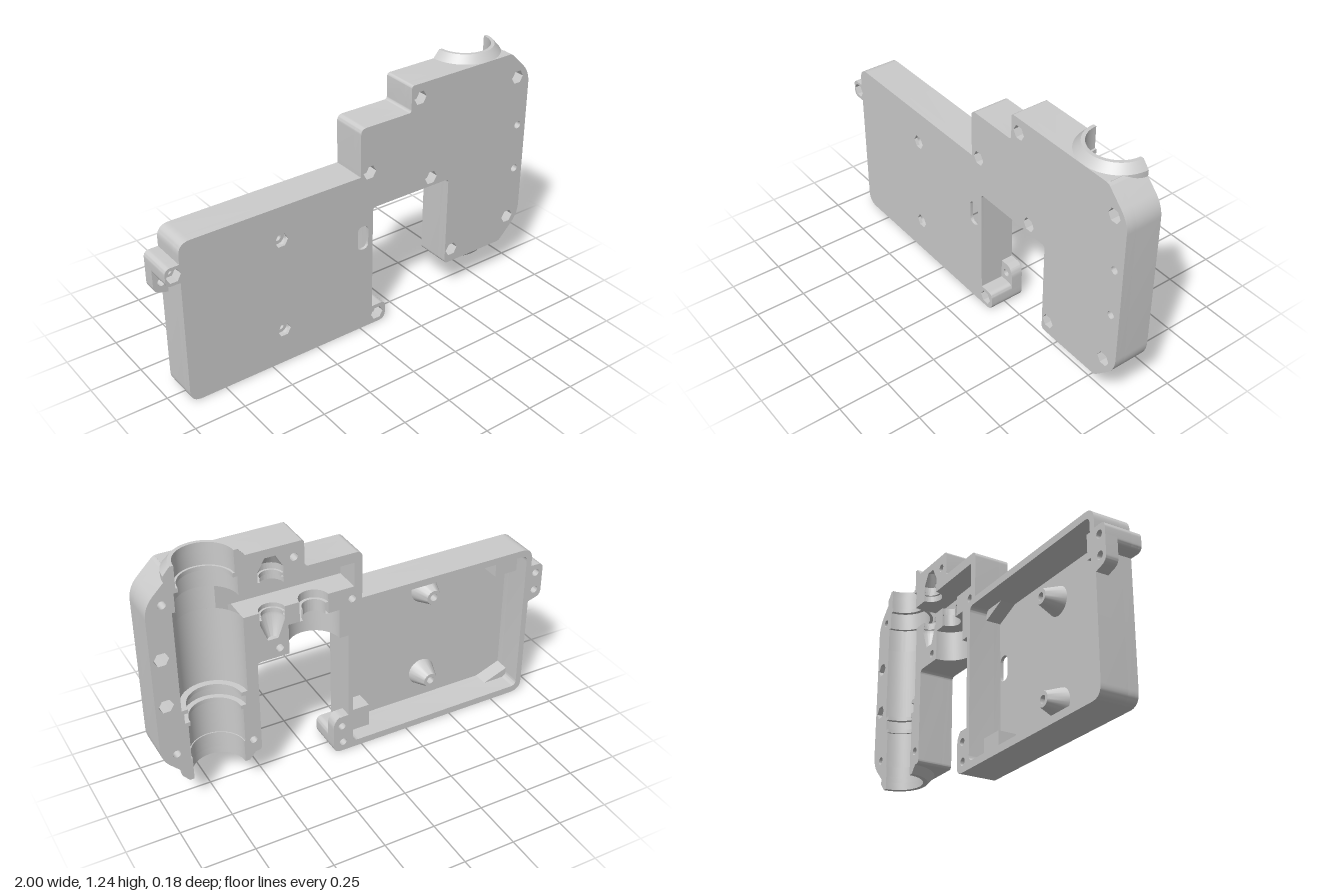
import * as THREE from 'three';
import { toCreasedNormals } from 'three/addons/utils/BufferGeometryUtils.js';

const BACK = -0.09, FRONT = 0.09, RECESS = 0.04, FLOOR = 0.075;
const mat = new THREE.MeshStandardMaterial({ color: 0xcccccc, side: THREE.DoubleSide });

// closed outline from [x, y, cornerRadius]
function outline(pts, Kind = THREE.Shape) {
  const s = new Kind(), n = pts.length;
  pts.forEach(([x, y, r = 0], i) => {
    const p = new THREE.Vector2(x, y);
    const toward = q => p.clone().add(new THREE.Vector2(q[0], q[1]).sub(p).setLength(r));
    const a = r ? toward(pts[(i + n - 1) % n]) : p;
    if (i) s.lineTo(a.x, a.y); else s.moveTo(a.x, a.y);
    if (r) {
      const b = toward(pts[(i + 1) % n]);
      s.quadraticCurveTo(x, y, b.x, b.y);
    }
  });
  s.closePath();
  return s;
}
const rect = (x0, y0, x1, y1, r, Kind) =>
  outline([[x0, y0, r], [x1, y0, r], [x1, y1, r], [x0, y1, r]], Kind);
const round = (x, y, r = 0.019) => new THREE.Path().absarc(x, y, r, 0, Math.PI * 2);
const hex = (x, y) => outline(Array.from({ length: 6 }, (_, i) =>
  [x + 0.035 * Math.cos(i * Math.PI / 3), y + 0.035 * Math.sin(i * Math.PI / 3)]), THREE.Path);

export function createModel() {
  const model = new THREE.Group();
  const add = (name, geo) => {
    const m = new THREE.Mesh(toCreasedNormals(geo, 0.5), mat);
    m.name = name;
    model.add(m);
    return m;
  };
  // slab of a shape between two depths
  const slab = (name, shape, holes, z0, z1) => {
    const s = shape.clone();
    s.holes = holes;
    const g = new THREE.ExtrudeGeometry(s, { depth: z1 - z0, bevelEnabled: false, curveSegments: 10 });
    return add(name, g.translate(0, 0, z0));
  };
  // half-round trough, axis vertical on the open back plane
  const trough = (name, x, prof, a = -Math.PI / 2, b = Math.PI / 2) =>
    add(name, new THREE.LatheGeometry(prof.map(p => new THREE.Vector2(...p)), 32, a, b - a).translate(x, 0, BACK));
  // upright wall with a half-round cut-out, top at y
  const saddle = (name, x, r, w, y, h) => {
    const s = new THREE.Shape();
    s.moveTo(-w, 0);
    s.lineTo(-r, 0);
    s.absarc(0, 0, r, Math.PI, 0, true);
    s.lineTo(w, 0);
    s.lineTo(w, FLOOR - BACK);
    s.lineTo(-w, FLOOR - BACK);
    s.closePath();
    const g = new THREE.ExtrudeGeometry(s, { depth: h, bevelEnabled: false, curveSegments: 16 });
    add(name, g.rotateX(Math.PI / 2).translate(x, y, BACK));
  };

  // main barrel channel: [radius, y] from top to bottom
  const CX = 0.73;
  const P = [[0.13, 1.2], [0.13, 1.13], [0.12, 1.13], [0.12, 1.11], [0.14, 1.11], [0.14, 1.02],
    [0.155, 1.02], [0.155, 0.52], [0.125, 0.52], [0.125, 0.5], [0.145, 0.5], [0.145, 0.45],
    [0.12, 0.45], [0.12, 0.43], [0.13, 0.43], [0.13, 0.25], [0.125, 0.25], [0.125, 0.17]];
  const leftEdge = P.map(([r, y]) => [CX - r, y]);
  const rightEdge = P.map(([r, y]) => [CX + r, y]);

  // silhouette pieces
  const lowerLeft = [[0.07, 0.1], [0.15, 0.1, 0.03], [0.15, 0, 0.04], [-0.93, 0, 0.06], [-0.93, 0.64],
    [-1, 0.64, 0.03], [-1, 0.73, 0.03], [-0.93, 0.73], [-0.93, 0.83, 0.06], [0, 0.83], [0, 1.07, 0.03],
    [0.28, 1.07, 0.015], [0.28, 1.2, 0.015]];
  const rightSide = [[0.88, 1.2, 0.015], [1, 1.08, 0.06], [1, 0.29, 0.06], [0.88, 0.17, 0.015]];
  const faceplate = outline([...lowerLeft, ...rightSide, [0.52, 0.17, 0.02], [0.52, 0.65, 0.02], [0.07, 0.65, 0.02]]);
  const trayBody = outline([...lowerLeft, ...leftEdge.slice(0, 6),
    [0.5, 1.02], [0.5, 1.1], [0.465, 1.16], [0.415, 1.16], [0.38, 1.1], [0.38, 1.02],
    [0.04, 1.02], [0.04, 0.9], [0.17, 0.9], [0.17, 0.8], [0.115, 0.8], [0.115, 0.65], [0.07, 0.65]]);
  const gripBody = outline([[0.365, 0.65], [0.365, 0.8], [0.31, 0.8], [0.31, 0.9], [0.38, 0.9], [0.38, 0.84],
    [0.415, 0.75], [0.465, 0.75], [0.5, 0.84], [0.5, 0.9], [0.575, 0.9], ...leftEdge.slice(7),
    [0.52, 0.17, 0.02], [0.52, 0.65, 0.02]]);
  const sideBody = outline([...rightSide, ...rightEdge.slice().reverse()]);

  // fastener positions
  const trayBolts = [[-0.96, 0.685], [0.1, 0.05], [0.05, 0.84], [0.33, 1.13]];
  const gripBolts = [[0.41, 0.695], [0.56, 0.24]];
  const sideBolts = [[0.925, 1.07], [0.925, 0.3]];
  const pins = [[0.95, 0.81], [0.95, 0.57]];
  const bosses = [[-0.43, 0.66], [-0.43, 0.18]];
  const tray = () => rect(-0.9, 0.035, 0.046, 0.795, 0.03, THREE.Path);
  const holes = (list, f) => list.map(p => f(...p));

  // front plate
  slab('frontPlate', faceplate, [
    ...holes([...trayBolts, ...gripBolts, ...sideBolts, ...bosses], hex), ...holes(pins, round),
    rect(-0.016, 0.445, 0.044, 0.57, 0.03, THREE.Path)], FLOOR, FRONT);

  // side walls and solid blocks, with round bores behind hexagonal recesses
  for (const [name, shape, bolts, extra] of [
    ['trayBody', trayBody, trayBolts, [tray()]], ['gripBody', gripBody, gripBolts, []]]) {
    slab(name, shape, [...holes(bolts, round), ...extra], BACK, RECESS);
    slab(name + 'Recess', shape, [...holes(bolts, hex), ...extra], RECESS, FLOOR);
  }
  slab('sideBody', sideBody, [...holes(sideBolts, round), ...holes(pins, hex)], BACK, RECESS);
  slab('sideBodyRecess', sideBody, [...holes(sideBolts, hex), ...holes(pins, round)], RECESS, FLOOR);

  // thin halves of the two mounting ears
  slab('rightEar', outline([[0.07, 0.1], [0.15, 0.06], [0.15, 0.18, 0.04], [0.12, 0.2, 0.02], [0.07, 0.2]]),
    [round(0.105, 0.145)], BACK, -0.03);
  slab('leftEar', outline([[-0.93, 0.64], [-1, 0.67], [-1, 0.55, 0.03], [-0.93, 0.53]]),
    [round(-0.96, 0.59)], BACK, -0.03);

  // barrel channel, open to the gear slot on one side
  trough('barrelTop', CX, [...P.slice(0, 6), [0.155, 1.02]]);
  trough('barrelSlot', CX, [[0.155, 1.02], [0.155, 0.9]], -0.58);
  trough('barrelLower', CX, [[0.155, 0.9], ...P.slice(7)]);
  saddle('barrelTopEnd', CX, 0.13, 0.145, 1.2, 0.03);
  saddle('barrelBottomEnd', CX, 0.125, 0.145, 0.2, 0.03);

  // tapered collars at both ends
  for (const [name, y, dir, r] of [['topCollar', 1.2, 1, 0.13], ['bottomCollar', 0.17, -1, 0.125]]) {
    const prof = [[r, y], [r, y + dir * 0.037], [0.147, y + dir * 0.037], [0.179, y], [0.179, y - dir * 0.045]];
    trough(name, CX, prof);
    for (const s of [-1, 1]) {
      const cap = new THREE.Shape([...prof, [r, y - dir * 0.045]].map(p => new THREE.Vector2(CX + s * p[0], p[1])));
      add(name + 'Edge', new THREE.ShapeGeometry(cap).translate(0, 0, BACK));
    }
  }

  // gear slot floor, shaft seats above and below it
  add('slotFloor', new THREE.BoxGeometry(0.605, 0.12, FLOOR - RECESS).translate(0.3425, 0.96, (FLOOR + RECESS) / 2));
  trough('upperShaftSeat', 0.44, [[0, 1.16], [0.025, 1.16], [0.06, 1.1], [0.06, 1.07], [0.05, 1.07], [0.05, 1.05], [0.06, 1.05], [0.06, 1.02]]);
  trough('lowerShaftSeat', 0.44, [[0.06, 0.9], [0.06, 0.88], [0.05, 0.88], [0.05, 0.86], [0.06, 0.86], [0.06, 0.84], [0.025, 0.75], [0, 0.75]]);
  saddle('upperSeatWall', 0.44, 0.06, 0.062, 1.03, 0.01);
  saddle('lowerSeatWall', 0.44, 0.06, 0.062, 0.9, 0.01);

  // motor bore and its neck
  trough('motorBore', 0.24, [[0.07, 0.9], [0.07, 0.86], [0.055, 0.86], [0.055, 0.8], [0.125, 0.8], [0.125, 0.65]]);
  saddle('neckWall', 0.24, 0.07, 0.072, 0.9, 0.01);
  saddle('motorBoreEnd', 0.24, 0.125, 0.127, 0.66, 0.01);

  // tray screw bosses
  for (const [x, y] of bosses) {
    const prof = [[0.07, 0], [0.036, 0.09], [0.019, 0.09], [0.019, 0.02], [0.036, 0.02], [0.036, 0]];
    add('screwBoss', new THREE.LatheGeometry(prof.map(p => new THREE.Vector2(...p)), 28).rotateX(-Math.PI / 2))
      .position.set(x, y, FLOOR);
  }

  // tray corner blocks and wedges
  for (const [x, y] of [[-0.02, 0.095], [-0.84, 0.735]])
    add('cornerBlock', new THREE.BoxGeometry(0.125, 0.12, 0.09).translate(x, y, FLOOR - 0.045));
  for (const [x, y, s] of [[0.046, 0.795, -1], [-0.9, 0.035, 1]])
    slab('cornerWedge', outline([[x, y], [x + s * 0.13, y], [x, y + s * 0.05]]), [], 0, FLOOR);

  return model;
}
